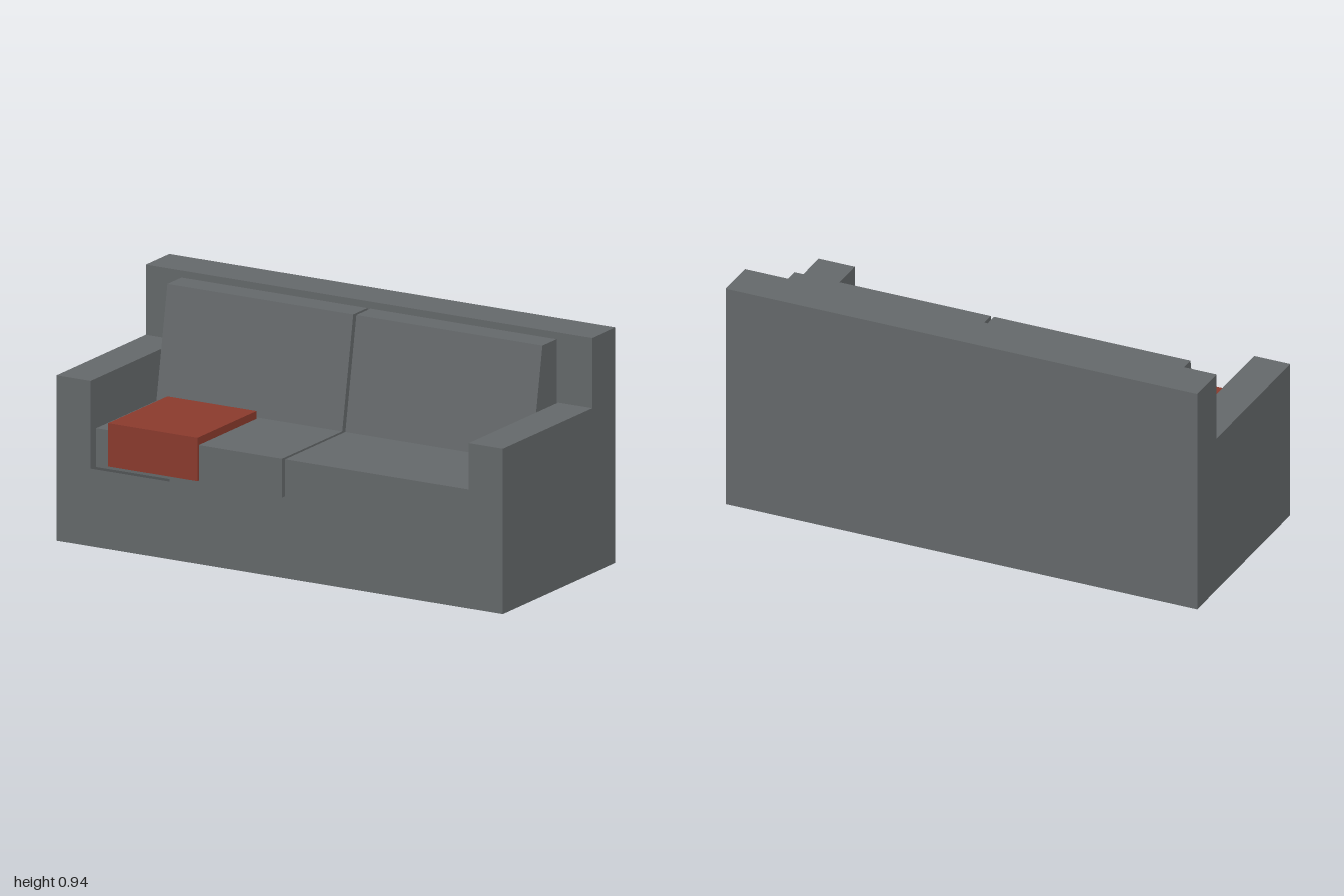
import * as THREE from 'three';

const gray = new THREE.MeshStandardMaterial({ color: 0x64686a, side: THREE.DoubleSide });
gray.name = 'gray fabric';
const red = new THREE.MeshStandardMaterial({ color: 0x8a3a2d });
red.name = 'red wool';

const W = 1, D = 0.42, ARM_IN = 0.847, ARM_TOP = 0.66, BACK_TOP = 0.94;
const BACK_Z = -0.245, RAIL_TOP = 0.31, SEAT_TOP = 0.465;

function mesh(name, geometry, material = gray) {
  const m = new THREE.Mesh(geometry, material);
  m.name = name;
  return m;
}

const shapeOf = (points) => new THREE.Shape(points.map(([a, b]) => new THREE.Vector2(a, b)));

// Flat upholstery sheets: facing z (x, y points), facing x (z, y points), facing up (x, z points)
const sheetZ = (z, points) => new THREE.ShapeGeometry(shapeOf(points)).translate(0, 0, z);
const sheetX = (x, points) =>
  new THREE.ShapeGeometry(shapeOf(points.map(([z, y]) => [-z, y]))).rotateY(Math.PI / 2).translate(x, 0, 0);
const sheetY = (y, points) =>
  new THREE.ShapeGeometry(shapeOf(points.map(([x, z]) => [x, -z]))).rotateX(-Math.PI / 2).translate(0, y, 0);
const rect = (a0, b0, a1, b1) => [[a0, b0], [a1, b0], [a1, b1], [a0, b1]];

// Box without its bottom; the front top edge can lean back
function cushion(x0, x1, y0, y1, z0, z1, lean = 0) {
  const g = new THREE.BoxGeometry(x1 - x0, y1 - y0, z1 - z0);
  g.translate((x0 + x1) / 2, (y0 + y1) / 2, (z0 + z1) / 2);
  const index = Array.from(g.index.array);
  index.splice(18, 6);
  g.setIndex(index);
  g.clearGroups();
  const p = g.attributes.position;
  for (let i = 0; i < p.count; i++) {
    if (p.getY(i) > y1 - 0.001 && p.getZ(i) > z1 - 0.001) p.setZ(i, z1 - lean);
  }
  g.computeVertexNormals();
  return g;
}

export function createModel() {
  const sofa = new THREE.Group();
  sofa.name = 'sofa';

  // Hollow frame, open underneath
  const frame = new THREE.Group();
  frame.name = 'frame';
  sofa.add(frame);
  frame.add(
    mesh('frontPanel', sheetZ(D, [
      [-W, 0], [W, 0], [W, ARM_TOP], [ARM_IN, ARM_TOP], [ARM_IN, RAIL_TOP],
      [-ARM_IN, RAIL_TOP], [-ARM_IN, ARM_TOP], [-W, ARM_TOP],
    ])),
    mesh('backPanel', sheetZ(-D, rect(-W, 0, W, BACK_TOP)).rotateY(Math.PI).translate(0, 0, -2 * D)),
    mesh('backrestTop', sheetY(BACK_TOP, rect(-W, -D, W, BACK_Z))),
    mesh('backrestFront', sheetZ(BACK_Z, [
      [-ARM_IN, RAIL_TOP], [ARM_IN, RAIL_TOP], [ARM_IN, ARM_TOP], [W, ARM_TOP],
      [W, BACK_TOP], [-W, BACK_TOP], [-W, ARM_TOP], [-ARM_IN, ARM_TOP],
    ])),
  );

  for (const [side, s] of [['left', 1], ['right', -1]]) {
    // Arm and side walls
    frame.add(
      mesh(side + 'SidePanel', sheetX(s * W, [
        [D, 0], [-D, 0], [-D, BACK_TOP], [BACK_Z, BACK_TOP], [BACK_Z, ARM_TOP], [D, ARM_TOP],
      ])),
      mesh(side + 'ArmTop', sheetY(ARM_TOP, rect(s * ARM_IN, BACK_Z, s * W, D))),
      mesh(side + 'ArmInside', sheetX(s * ARM_IN, rect(BACK_Z, RAIL_TOP, D, ARM_TOP))),
    );
    // Seat and back cushions
    const x0 = s > 0 ? 0.007 : -0.84, x1 = s > 0 ? 0.84 : -0.007;
    sofa.add(
      mesh(side + 'SeatCushion', cushion(x0, x1, RAIL_TOP, SEAT_TOP, BACK_Z, 0.39)),
      mesh(side + 'BackCushion', cushion(x0, x1, SEAT_TOP, 0.912, BACK_Z, -0.058, 0.082)),
    );
  }

  // Folded blanket draped over the seat edge
  const profile = shapeOf([
    [0.035, SEAT_TOP + 0.002], [-0.392, SEAT_TOP + 0.002], [-0.392, 0.325],
    [-0.405, 0.325], [-0.405, 0.498], [0.035, 0.498],
  ]);
  const blanket = new THREE.ExtrudeGeometry(profile, { depth: 0.4, bevelEnabled: false });
  blanket.rotateY(Math.PI / 2).translate(-0.777, 0, 0);
  sofa.add(mesh('blanket', blanket, red));

  return sofa;
}
